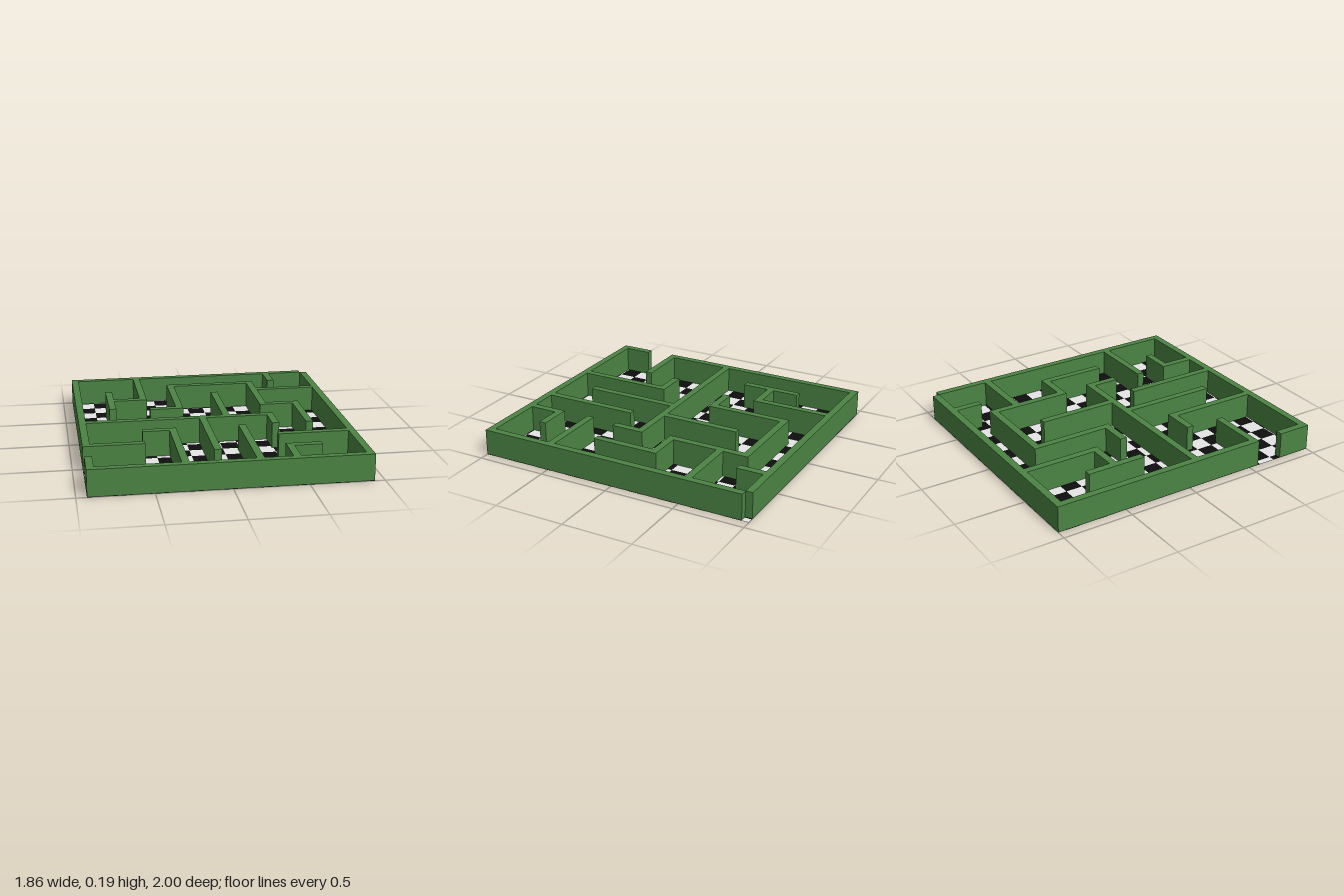
import * as THREE from 'three';
import { mergeGeometries } from 'three/addons/utils/BufferGeometryUtils.js';

const HALF_X = 0.93, HALF_Z = 1, HEIGHT = 0.185, LIFT = 0.002, TILE = 0.118;

// Walls as [x0, x1, z0, z1] footprints
const OUTER = {
  backWall: [-0.93, 0.88, -1, -0.95],
  rightHandWall: [0.88, 0.93, -0.95, 1],
  frontWall: [-0.93, 0.88, 0.95, 1],
  leftHandWallBack: [-0.93, -0.88, -0.95, 0.57],
  leftHandWallFront: [-0.93, -0.88, 0.76, 0.95],
};
const INNER = [
  // back left
  [-0.455, -0.405, -0.95, -0.395], [-0.645, -0.455, -0.445, -0.395],
  [-0.695, -0.645, -0.63, -0.205],
  // middle hook
  [-0.215, -0.165, -0.76, -0.155], [-0.405, -0.215, -0.205, -0.155],
  [-0.165, 0.45, -0.76, -0.71], [0.4, 0.45, -0.71, -0.155],
  [0.45, 0.69, -0.205, -0.155], [0.64, 0.69, -0.155, 0.275],
  // back right
  [0.577, 0.627, -0.95, -0.76], [0.45, 0.88, -0.577, -0.527],
  // centre
  [0.09, 0.14, -0.52, 0.04], [-0.88, 0.45, 0.04, 0.09],
  [0.4, 0.45, 0.09, 0.275], [-0.085, -0.035, 0.09, 0.755],
  // front
  [-0.51, -0.275, 0.275, 0.325], [-0.325, -0.275, 0.325, 0.95],
  [0.16, 0.21, 0.275, 0.95], [0.395, 0.88, 0.465, 0.515],
  [-0.88, -0.515, 0.52, 0.57], [0.4, 0.64, 0.705, 0.755],
  [0.4, 0.45, 0.755, 0.95],
];

function wall(name, [x0, x1, z0, z1], material) {
  const mesh = new THREE.Mesh(new THREE.BoxGeometry(x1 - x0, HEIGHT - LIFT, z1 - z0), material);
  mesh.position.set((x0 + x1) / 2, (HEIGHT + LIFT) / 2, (z0 + z1) / 2);
  mesh.name = name;
  return mesh;
}

// All floor tiles of one parity, clipped to the floor's outline
function tiles(parity) {
  const list = [];
  const clampX = THREE.MathUtils.clamp;
  for (let row = -9; row < 9; row++) {
    for (let col = -1; col < 16; col++) {
      if (Math.abs(row + col) % 2 !== parity) continue;
      const x0 = clampX((col - 7.5) * TILE, -HALF_X, HALF_X);
      const x1 = clampX((col - 6.5) * TILE, -HALF_X, HALF_X);
      const z0 = clampX(row * TILE, -HALF_Z, HALF_Z);
      const z1 = clampX((row + 1) * TILE, -HALF_Z, HALF_Z);
      if (x1 - x0 < 1e-4 || z1 - z0 < 1e-4) continue;
      const tile = new THREE.PlaneGeometry(x1 - x0, z1 - z0).rotateX(-Math.PI / 2);
      list.push(tile.translate((x0 + x1) / 2, 0, (z0 + z1) / 2));
    }
  }
  return mergeGeometries(list);
}

export function createModel() {
  const green = new THREE.MeshStandardMaterial({ color: 0x4b8443 });
  green.name = 'hedge green';
  const white = new THREE.MeshStandardMaterial({ color: 0xe6e6e6, side: THREE.DoubleSide });
  white.name = 'tile white';
  const black = new THREE.MeshStandardMaterial({ color: 0x0e0e0e, side: THREE.DoubleSide });
  black.name = 'tile black';

  const model = new THREE.Group();
  model.name = 'maze';

  // Checkered floor
  const floor = new THREE.Group();
  floor.name = 'floor';
  [['whiteTiles', white], ['blackTiles', black]].forEach(([name, material], parity) => {
    const mesh = new THREE.Mesh(tiles(parity), material);
    mesh.name = name;
    floor.add(mesh);
  });

  // Boundary with an entrance gap and an open back corner
  const boundary = new THREE.Group();
  boundary.name = 'outerWalls';
  for (const [name, rect] of Object.entries(OUTER)) boundary.add(wall(name, rect, green));

  // Maze partitions
  const partitions = new THREE.Group();
  partitions.name = 'innerWalls';
  INNER.forEach((rect, i) => partitions.add(wall(`innerWall${i + 1}`, rect, green)));

  model.add(floor, boundary, partitions);
  return model;
}
